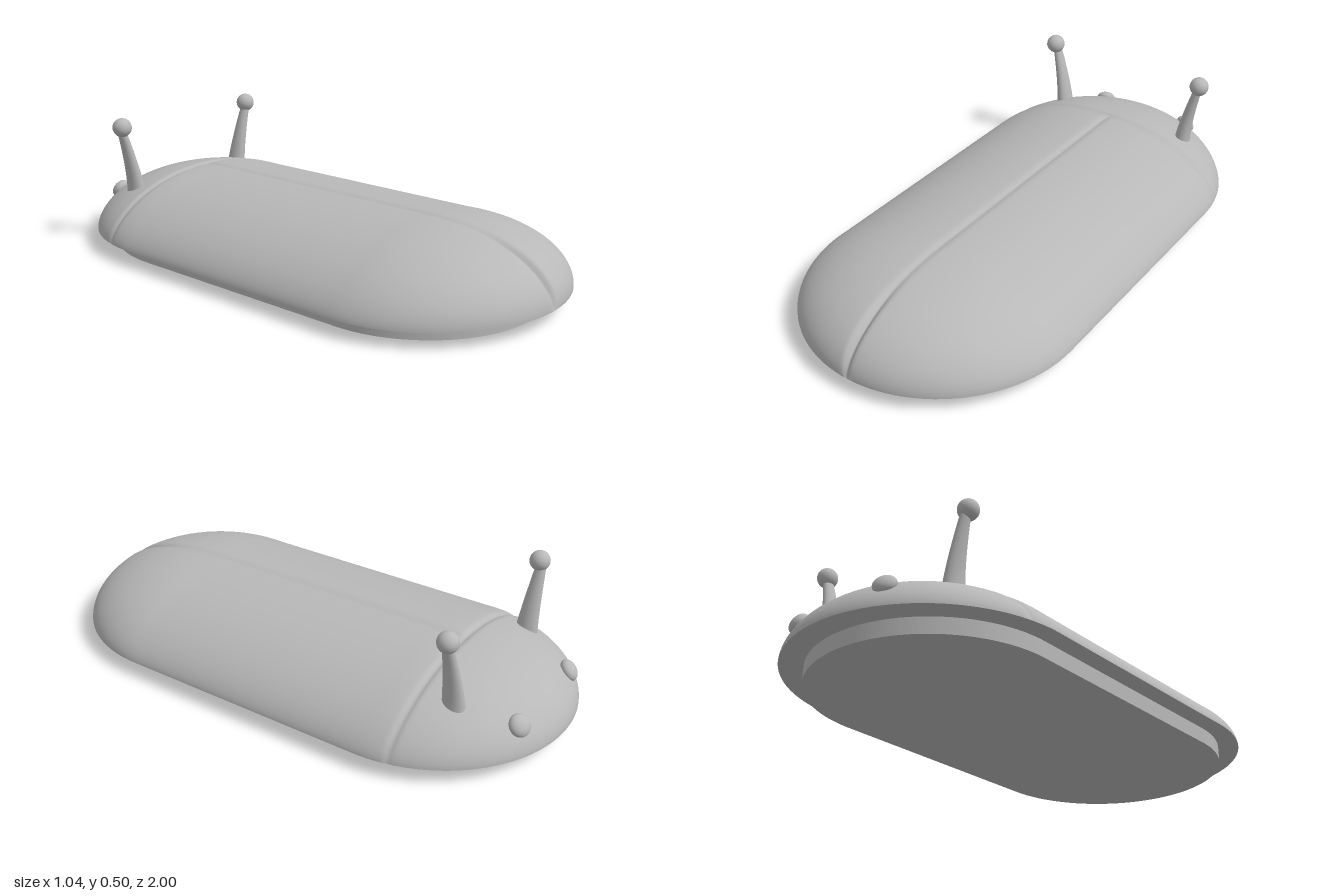
import * as THREE from 'three';

const R = 0.52, MID = 0.48, RIM = 0.058, RISE = 0.225;
const gauss = (d, w) => Math.exp(-(d * d) / (w * w));

// Height of the domed shell over a capsule-shaped plan, with its two grooves
function shellHeight(x, z) {
  const dz = Math.max(0, Math.abs(z) - MID);
  const r = Math.hypot(x, dz);
  const u = Math.min(1, r / R);
  const s = r > 1e-6 ? dz / r : 0; // 0 along the sides, 1 at the ends
  const a = 2.1 + 0.3 * s;
  const b = 0.65 - (z > 0 ? 0.14 : 0.09) * s;
  let y = RIM + RISE * Math.pow(Math.max(0, 1 - Math.pow(u, a)), b);
  // wing seam, deeper towards the front
  const seamDepth = 0.007 + 0.02 * THREE.MathUtils.smoothstep(z, 0.65, 1);
  y -= seamDepth * gauss(x, 0.013) * THREE.MathUtils.smoothstep(z, -0.62, -0.57);
  // neck seam across the back
  y -= 0.008 * gauss(z + 0.6, 0.013);
  return Math.max(RIM, y);
}

function shellGeometry() {
  // rows packed at both ends and around the neck seam
  const rows = [];
  for (let i = 0; i <= 32; i++) {
    const c = MID + R * Math.sin((i / 32) * Math.PI / 2);
    rows.push(c, -c);
  }
  for (let i = 1; i < 20; i++) rows.push(-MID + (2 * MID * i) / 20);
  for (let k = -6; k <= 6; k++) rows.push(-0.6 + k * 0.005);
  rows.sort((p, q) => p - q);

  // columns packed at the wing seam and the rim
  const N = 72, pos = [], index = [];
  rows.forEach((z, i) => {
    const dz = Math.max(0, Math.abs(z) - MID);
    const half = Math.sqrt(Math.max(0, R * R - dz * dz));
    for (let j = 0; j <= N; j++) {
      const t = (2 * j) / N - 1;
      const x = half * Math.sin(Math.sign(t) * Math.pow(Math.abs(t), 1.4) * Math.PI / 2);
      pos.push(x, shellHeight(x, z), z);
      if (i < rows.length - 1 && j < N) {
        const a = i * (N + 1) + j, b = a + N + 1;
        index.push(a, b, a + 1, b, b + 1, a + 1);
      }
    }
  });
  const g = new THREE.BufferGeometry();
  g.setAttribute('position', new THREE.Float32BufferAttribute(pos, 3));
  g.setIndex(index);
  g.computeVertexNormals();
  return g;
}

function capsuleShape(r, mid) {
  const s = new THREE.Shape();
  s.absarc(0, mid, r, 0, Math.PI);
  s.absarc(0, -mid, r, Math.PI, Math.PI * 2);
  s.closePath();
  return s;
}

// Tapered oval stalk that leans outwards
function stalkGeometry() {
  const g = new THREE.CylinderGeometry(1, 1, 1, 28, 12);
  const p = g.attributes.position;
  for (let i = 0; i < p.count; i++) {
    const t = p.getY(i) + 0.5;
    p.setXYZ(i,
      0.282 + 0.053 * Math.pow(t, 1.4) + p.getX(i) * THREE.MathUtils.lerp(0.032, 0.016, Math.pow(t, 0.8)),
      0.19 + 0.26 * t,
      -0.715 + 0.01 * t + p.getZ(i) * THREE.MathUtils.lerp(0.043, 0.019, t));
  }
  g.computeVertexNormals();
  return g;
}

export function createModel() {
  const model = new THREE.Group();
  const grey = new THREE.MeshStandardMaterial({ color: 0xb8b8b8 });
  grey.name = 'plain grey';
  const add = (name, geometry, parent = model) => {
    const m = new THREE.Mesh(geometry, grey);
    m.name = name;
    parent.add(m);
    return m;
  };

  // Domed shell and its flat underside
  add('shell', shellGeometry());
  const under = add('shellUnderside', new THREE.ShapeGeometry(capsuleShape(R, MID), 48));
  under.rotation.x = Math.PI / 2;
  under.position.y = RIM;

  // Inset base
  const base = add('base', new THREE.ExtrudeGeometry(capsuleShape(0.45, 0.465),
    { depth: RIM, bevelEnabled: false, curveSegments: 48 }));
  base.rotation.x = -Math.PI / 2;

  // Feelers and eyes on each side of the head
  const stalk = stalkGeometry();
  for (const side of [1, -1]) {
    const feeler = new THREE.Group();
    feeler.name = side > 0 ? 'leftFeeler' : 'rightFeeler';
    model.add(feeler);
    const stem = add('stalk', stalk, feeler);
    if (side < 0) { // turned copy mirrors the stalk without flipping faces
      stem.rotation.y = Math.PI;
      stem.position.z = -1.42;
    }
    add('feelerTip', new THREE.SphereGeometry(0.037, 28, 20), feeler)
      .position.set(side * 0.338, 0.465, -0.707);

    const eye = add(side > 0 ? 'leftEye' : 'rightEye', new THREE.SphereGeometry(0.04, 28, 20));
    eye.scale.set(1, 0.65, 1);
    eye.position.set(side * 0.198, shellHeight(0.198, -0.908) + 0.004, -0.912);
    eye.quaternion.setFromUnitVectors(new THREE.Vector3(0, 1, 0),
      new THREE.Vector3(side * 0.3, 0.6, -0.75).normalize());
  }
  return model;
}
